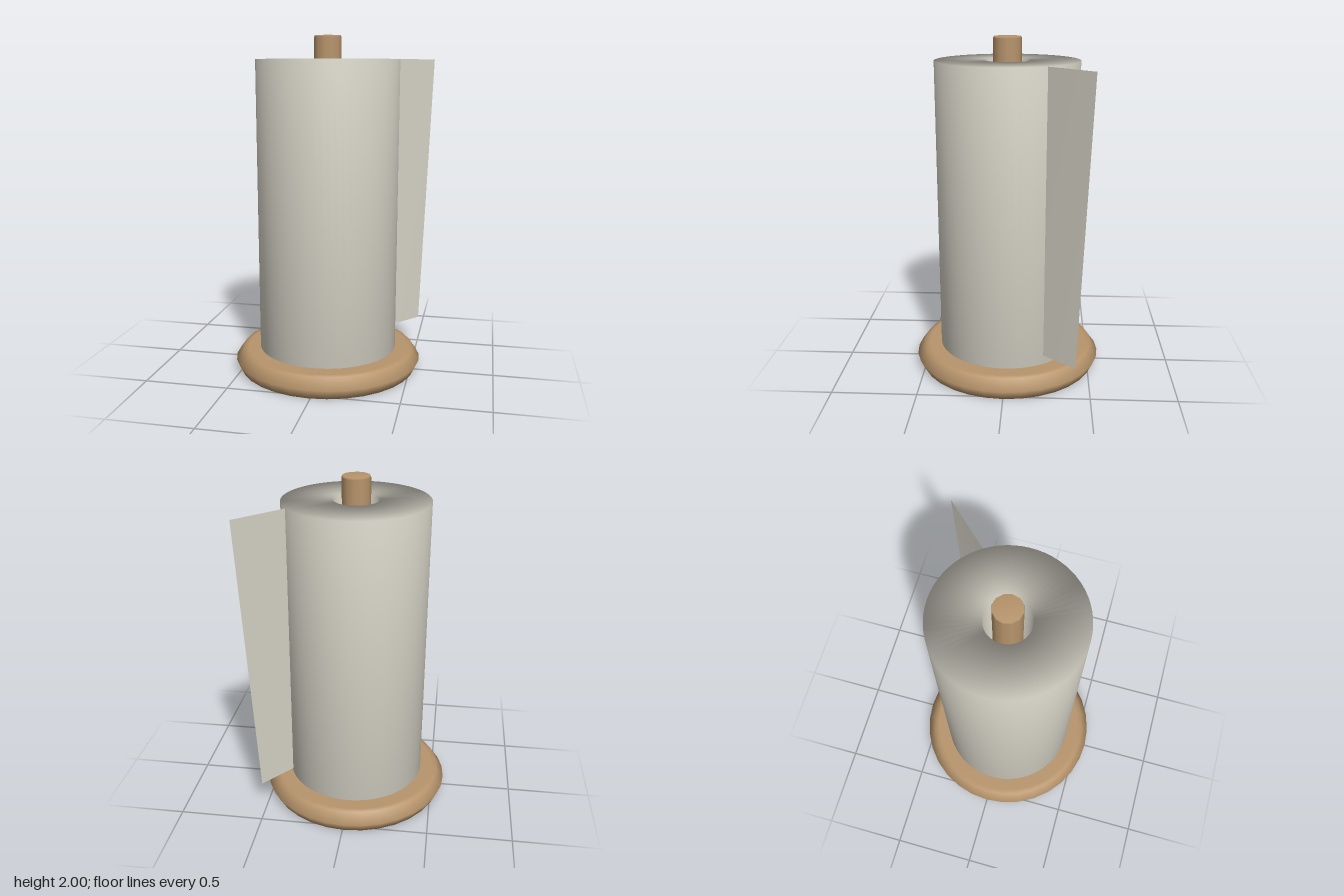
import * as THREE from 'three';

const wood = new THREE.MeshStandardMaterial({ color: 0xb8956c });
wood.name = 'wood';
const paper = new THREE.MeshStandardMaterial({ color: 0xd6d3c6, side: THREE.DoubleSide });
paper.name = 'paper';

// Turned part around the holder's axis, with softly blended normals
function turned(name, profile, sides, material) {
  const points = profile.map(([r, y]) => new THREE.Vector2(r, y));
  const mesh = new THREE.Mesh(new THREE.LatheGeometry(points, sides), material);
  mesh.name = name;
  mesh.position.x = -0.012;
  return mesh;
}

export function createModel() {
  const group = new THREE.Group();
  group.name = 'paperTowelHolder';

  // Round base with a bevelled rim
  group.add(turned('base', [
    [0, 0], [0.535, 0], [0.565, 0.06], [0.52, 0.122], [0.49, 0.125], [0, 0.125],
  ], 32, wood));

  // Upright rod through the roll
  group.add(turned('rod', [
    [0.082, 0.1], [0.082, 1.99], [0.078, 2], [0, 2],
  ], 12, wood));

  // Hollow roll, its core narrowing slightly downwards
  group.add(turned('paperRoll', [
    [0.115, 0.13], [0.416, 0.13], [0.421, 1.865], [0.13, 1.865], [0.115, 0.13],
  ], 64, paper));

  // Loose end of the paper, flaring outwards at the top
  const sheet = new THREE.BufferGeometry();
  sheet.setAttribute('position', new THREE.Float32BufferAttribute([
    0.355, 0.195, -0.228,
    0.51, 0.195, -0.41,
    0.573, 1.865, -0.475,
    0.34, 1.865, -0.232,
  ], 3));
  sheet.setIndex([0, 1, 2, 0, 2, 3]);
  sheet.computeVertexNormals();
  const looseSheet = new THREE.Mesh(sheet, paper);
  looseSheet.name = 'looseSheet';
  group.add(looseSheet);

  return group;
}
